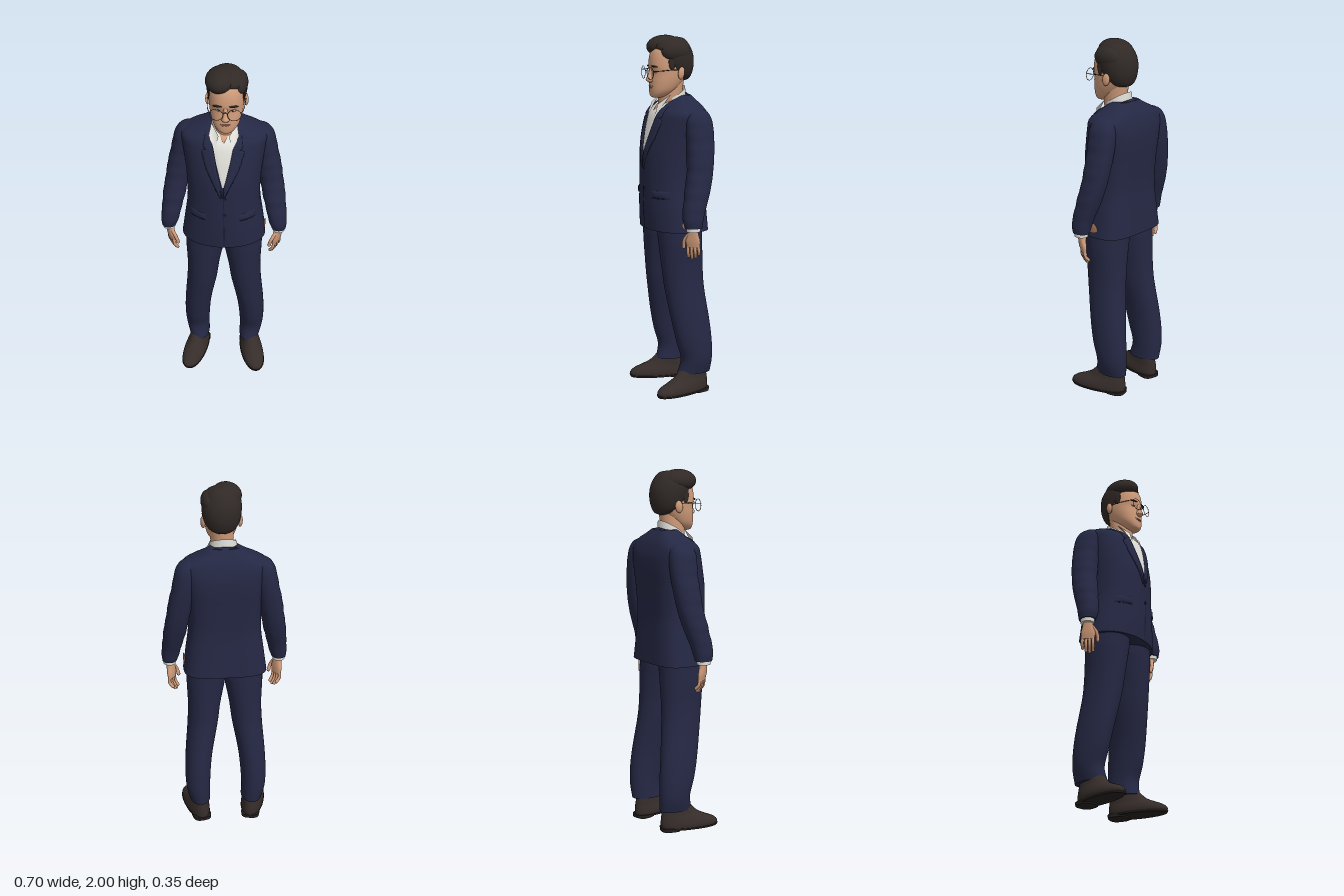
import * as THREE from 'three';

const mat = (name, color, side = THREE.FrontSide) => {
  const m = new THREE.MeshStandardMaterial({ color, side });
  m.name = name;
  return m;
};
const navy = mat('navy cloth', 0x252844, THREE.DoubleSide);
const darkNavy = mat('dark navy trim', 0x1a1d33, THREE.DoubleSide);
const white = mat('white shirt', 0xe2e0da, THREE.DoubleSide);
const skin = mat('skin', 0xd29d7b, THREE.DoubleSide);
const deepSkin = mat('deep skin', 0xb47c62);
const hairTone = mat('dark hair', 0x302926);
const leather = mat('brown leather', 0x362d2a);
const soleTone = mat('dark sole', 0x272120);
const frameTone = mat('bronze frame', 0x6a4630);
const eyeWhite = mat('eye white', 0xd0c2b8);

const add = (parent, name, geo, material, pos = [0, 0, 0], scale = [1, 1, 1], rot = [0, 0, 0]) => {
  const m = new THREE.Mesh(geo, material);
  m.name = name;
  m.position.set(...pos);
  m.scale.set(...scale);
  m.rotation.set(...rot);
  parent.add(m);
  return m;
};
const ball = new THREE.SphereGeometry(1, 32, 20);

// Rings are [y, centreX, radiusX, frontZ, backZ, tilt], bottom to top; this fills in between them
function smooth(rings, sub = 6, fold = 0) {
  const out = [];
  const R = rings.map(r => [...r, 0].slice(0, 6));
  for (let i = 0; i < R.length - 1; i++) {
    const [a, b, c, d] = [R[Math.max(i - 1, 0)], R[i], R[i + 1], R[Math.min(i + 2, R.length - 1)]];
    for (let k = 0; k < sub + (i === R.length - 2 ? 1 : 0); k++) {
      const t = k / sub;
      const r = b.map((v, n) => v + 0.5 * t * (c[n] - a[n] + t * (2 * a[n] - 5 * v + 4 * c[n] - d[n] + t * (3 * (v - c[n]) + d[n] - a[n]))));
      const w = fold * Math.sin(r[0] * 60) * Math.sin(r[0] * 23);
      r[2] += w; r[3] += w;
      out.push(r);
    }
  }
  return out;
}

// Skin over superellipse rings, with flat end caps unless open
function loft(rings, p = 2, open = false, N = 48, pBack = p) {
  const pos = [], idx = [];
  const pw = (v, q) => Math.sign(v) * Math.abs(v) ** (2 / q);
  const ring = ([y, cx, rx, zf, zb, tilt]) => {
    for (let j = 0; j < N; j++) {
      const a = j / N * Math.PI * 2, q = j > N / 2 ? pBack : p, dz = (zf - zb) / 2 * pw(Math.sin(a), q);
      pos.push(cx + rx * pw(Math.cos(a), q), y + tilt * dz, (zf + zb) / 2 + dz);
    }
  };
  rings.forEach(ring);
  for (let i = 0; i < rings.length - 1; i++) for (let j = 0; j < N; j++) {
    const a = i * N + j, b = i * N + (j + 1) % N;
    idx.push(a, a + N, b, b, a + N, b + N);
  }
  if (!open) [rings[0], rings[rings.length - 1]].forEach((r, e) => {
    const s = pos.length / 3;
    ring(r);
    pos.push(r[1], r[0], (r[3] + r[4]) / 2);
    for (let j = 0; j < N; j++) {
      const a = s + j, b = s + (j + 1) % N;
      idx.push(s + N, e ? b : a, e ? a : b);
    }
  });
  return meshFrom(pos, idx);
}
function meshFrom(pos, idx) {
  const g = new THREE.BufferGeometry();
  g.setAttribute('position', new THREE.Float32BufferAttribute(pos, 3));
  g.setIndex(idx);
  g.computeVertexNormals();
  return g;
}

// Jacket body, also used as the surface that the front details lie on
const P = 2.05;
const body = smooth([
  [0.94, 0, 0.232, 0.162, -0.163], [1.05, 0, 0.217, 0.169, -0.157], [1.2, 0, 0.199, 0.171, -0.151],
  [1.35, 0, 0.203, 0.168, -0.16], [1.45, 0, 0.214, 0.15, -0.167], [1.53, 0, 0.226, 0.128, -0.165],
  [1.585, 0, 0.228, 0.106, -0.152], [1.62, 0, 0.182, 0.074, -0.137], [1.645, 0, 0.13, 0.045, -0.12],
  [1.675, 0, 0.08, 0.015, -0.097]]);
function frontZ(x, y) {
  let i = body.findIndex(r => r[0] > y);
  i = i < 1 ? (i === 0 ? 1 : body.length - 1) : i;
  const [a, b] = [body[i - 1], body[i]], t = (y - a[0]) / (b[0] - a[0]);
  const [, , rx, zf, zb] = a.map((v, n) => v + (b[n] - v) * t);
  const q = Math.max(0, 1 - Math.abs(x / rx) ** P) ** (1 / P);
  return (zf + zb) / 2 + (zf - zb) / 2 * q;
}
// Cloth patch on the jacket front: rows are [y, inner x, outer x], top to bottom
function drape(rows, lift, s = 1, edge = 0.001) {
  const pos = [], idx = [], n = 8, sub = 5, all = [];
  rows.forEach((r, i) => {
    if (i) for (let k = 1; k <= sub; k++) all.push(r.map((v, m) => rows[i - 1][m] + (v - rows[i - 1][m]) * k / sub));
    else all.push(r);
  });
  all.forEach(([y, a, b], i) => {
    const [l, r] = s > 0 ? [a, b] : [-b, -a];
    for (let j = 0; j <= n; j++) {
      const x = l + (r - l) * j / n, rim = j === 0 || j === n || i === 0 || i === all.length - 1;
      pos.push(x, y, frontZ(x, y) + (rim ? edge : lift));
      if (i && j) {
        const d = i * (n + 1) + j, u = d - n - 1;
        idx.push(u - 1, d - 1, u, u, d - 1, d);
      }
    }
  });
  return meshFrom(pos, idx);
}

function buildJacket(g) {
  add(g, 'jacketBody', loft(body, P, false, 72, 3.6), navy);
  add(g, 'jacketCollar', loft(smooth([[1.6, 0, 0.105, 0.03, -0.125, -0.5], [1.635, 0, 0.094, 0.025, -0.1, -0.55],
    [1.652, 0, 0.084, 0.025, -0.086, -0.6]]), 2, true), navy);
  add(g, 'shirtFront', drape([[1.67, -0.064, 0.068], [1.62, -0.06, 0.064], [1.5, -0.036, 0.042], [1.355, 0, 0.01]], 0.006, 1, 0.004), white);
  add(g, 'openNeck', drape([[1.66, -0.034, 0.042], [1.64, -0.026, 0.034], [1.595, 0.002, 0.006]], 0.012, 1, 0.009), skin);
  add(g, 'shirtCollarBand', loft(smooth([[1.6, 0.004, 0.08, 0.055, -0.08, -0.55], [1.683, 0.006, 0.073, 0.06, -0.073, -0.6]]), 2, true), white);
  for (const s of [1, -1]) {
    add(g, 'lapel', drape([[1.635, 0.07, 0.094], [1.57, 0.054, 0.106], [1.557, 0.05, 0.094], [1.545, 0.047, 0.115],
      [1.45, 0.03, 0.088], [1.36, 0.008, 0.045], [1.28, 0.002, 0.01]], 0.009, s), navy);
    add(g, 'lapelEdge', drape([[1.543, 0.114, 0.117], [1.45, 0.087, 0.09], [1.36, 0.044, 0.047], [1.28, 0.009, 0.011]], 0.002, s), darkNavy);
    add(g, 'pocketFlap', drape([[1.165, 0.09, 0.178], [1.125, 0.09, 0.181]], 0.008, s), navy);
    add(g, 'pocketSeam', drape([[1.125, 0.089, 0.181], [1.121, 0.089, 0.181]], 0.003, s, 0.002), darkNavy);
    // Folded shirt collar point
    const c = [[0.068, 1.68, 0.036], [0.028, 1.63, 0.094], [0.046, 1.56, 0.124], [0.08, 1.628, 0.086]];
    add(g, 'shirtCollarPoint', meshFrom(c.flatMap(([x, y, z]) => [x * s + 0.004, y, z]),
      s > 0 ? [0, 1, 2, 0, 2, 3] : [0, 2, 1, 0, 3, 2]), white);
  }
  add(g, 'frontOpening', drape([[1.3, 0.005, 0.008], [1.1, 0.008, 0.011], [1.07, 0.004, 0.018], [0.943, 0.008, 0.011]], 0.003, 1, 0.003), darkNavy);
  for (const y of [1.28, 1.17])
    add(g, 'jacketButton', ball, darkNavy, [0.012, y, frontZ(0.012, y) + 0.002], [0.008, 0.008, 0.004]);
  add(g, 'hipPatch', ball, deepSkin, [0.225, 0.985, 0], [0.006, 0.04, 0.035], [0, 0, -0.13]);
}

// Arm, hand, trouser leg and shoe for one side
function buildSide(s) {
  const g = new THREE.Group();
  g.name = s > 0 ? 'leftLimbs' : 'rightLimbs';
  g.scale.x = s;
  add(g, 'sleeve', loft(smooth([
    [0.985, 0.307, 0.041, 0.056, -0.04], [1.06, 0.296, 0.053, 0.062, -0.058], [1.15, 0.281, 0.06, 0.045, -0.09],
    [1.25, 0.264, 0.064, 0.025, -0.118], [1.36, 0.245, 0.065, 0.012, -0.136], [1.46, 0.226, 0.064, 0.01, -0.145],
    [1.54, 0.212, 0.06, 0.01, -0.142], [1.585, 0.2, 0.053, 0.002, -0.128], [1.607, 0.182, 0.04, -0.015, -0.108],
    [1.618, 0.165, 0.015, -0.035, -0.08]], 8, 0.002), 2.2), navy);
  add(g, 'shirtCuff', loft(smooth([[0.965, 0.307, 0.034, 0.046, -0.03], [0.99, 0.307, 0.035, 0.048, -0.032]]), 2), white);

  const hand = new THREE.Group();
  hand.name = 'hand';
  hand.position.set(0.305, 0.97, 0.008);
  hand.rotation.set(0, -0.55, -0.12);
  add(hand, 'palm', loft(smooth([[-0.095, 0, 0.012, 0.036, -0.036], [-0.06, 0, 0.017, 0.042, -0.037],
    [-0.02, 0, 0.019, 0.031, -0.028], [0.02, 0, 0.02, 0.026, -0.024]]), 2.2, false, 24), skin);
  const digit = (name, pts, r) => {
    add(hand, name, new THREE.TubeGeometry(new THREE.CatmullRomCurve3(pts.map(p => new THREE.Vector3(...p))), 10, r, 10), skin);
    add(hand, name + 'Tip', ball, skin, pts[pts.length - 1], [r, r, r]);
  };
  [0.068, 0.076, 0.07, 0.055].forEach((len, i) => {
    const z = 0.027 - i * 0.018;
    digit('finger', [[0, -0.08, z], [0.001, -0.09 - len * 0.5, z * 1.1], [-0.014, -0.085 - len, z * 1.05]], 0.0088);
  });
  digit('thumb', [[0, -0.02, 0.024], [-0.006, -0.06, 0.05], [-0.012, -0.098, 0.054]], 0.01);
  g.add(hand);

  add(g, 'trouserLeg', loft(smooth([
    [0.118, 0.15, 0.059, 0.026, -0.168], [0.2, 0.16, 0.068, 0.008, -0.174], [0.3, 0.16, 0.073, 0.035, -0.172],
    [0.42, 0.151, 0.077, 0.06, -0.16], [0.6, 0.127, 0.086, 0.09, -0.137], [0.72, 0.117, 0.092, 0.104, -0.131],
    [0.85, 0.107, 0.107, 0.115, -0.13], [0.9, 0.102, 0.112, 0.118, -0.13], [0.98, 0.1, 0.112, 0.122, -0.13]], 8), 2.1), navy);

  const shoe = new THREE.Group();
  shoe.name = 'shoe';
  shoe.position.set(0.168, 0, 0);
  shoe.rotation.y = 0.22;
  add(shoe, 'shoeUpper', loft(smooth([[0.014, 0, 0.062, 0.172, -0.158], [0.035, 0, 0.065, 0.174, -0.16], [0.055, 0, 0.062, 0.152, -0.16],
    [0.075, 0, 0.056, 0.105, -0.158], [0.1, -0.002, 0.05, 0.055, -0.155], [0.15, -0.004, 0.044, 0.005, -0.15]]), 2.2), leather);
  add(shoe, 'sole', loft(smooth([[0.008, 0, 0.062, 0.172, -0.158], [0.02, 0, 0.067, 0.178, -0.163]], 2), 2.2), soleTone);
  add(shoe, 'heel', loft(smooth([[0, 0, 0.052, -0.05, -0.16], [0.02, 0, 0.054, -0.045, -0.162]], 2), 3), soleTone);
  g.add(shoe);
  return g;
}

function buildHead() {
  const g = new THREE.Group();
  g.name = 'head';
  g.position.x = 0.015;
  add(g, 'neck', loft(smooth([[1.56, -0.008, 0.054, 0.07, -0.05], [1.65, -0.005, 0.06, 0.078, -0.052], [1.76, 0, 0.066, 0.08, -0.064]]), 2), skin);
  add(g, 'face', loft(smooth([
    [1.664, 0, 0.022, 0.115, 0.07], [1.674, 0, 0.043, 0.128, 0.035], [1.705, 0, 0.068, 0.132, -0.01], [1.75, 0, 0.083, 0.131, -0.05],
    [1.8, 0, 0.091, 0.127, -0.08], [1.835, 0, 0.092, 0.134, -0.09], [1.89, 0, 0.09, 0.128, -0.095], [1.93, 0, 0.08, 0.11, -0.085],
    [1.96, 0, 0.05, 0.07, -0.05]]), 2.25), skin);
  add(g, 'nose', loft(smooth([[1.746, 0, 0.009, 0.138, 0.11], [1.755, 0, 0.021, 0.152, 0.11], [1.766, 0, 0.018, 0.157, 0.11],
    [1.79, 0, 0.012, 0.145, 0.11], [1.825, 0, 0.013, 0.134, 0.11]]), 2, false, 20), skin);
  add(g, 'upperLip', ball, deepSkin, [0, 1.727, 0.124], [0.031, 0.0035, 0.011]);
  add(g, 'lowerLip', ball, deepSkin, [0, 1.72, 0.125], [0.024, 0.0045, 0.011]);
  add(g, 'glassesBridge', new THREE.TorusGeometry(0.012, 0.0018, 6, 12, Math.PI), frameTone, [0, 1.803, 0.156]);
  for (const s of [1, -1]) {
    add(g, 'ear', ball, skin, [s * 0.1, 1.8, -0.008], [0.012, 0.034, 0.021], [-0.15, s * 0.3, 0]);
    add(g, 'eye', ball, eyeWhite, [s * 0.037, 1.806, 0.116], [0.015, 0.0055, 0.009]);
    add(g, 'iris', ball, hairTone, [s * 0.037, 1.806, 0.121], [0.006, 0.0055, 0.005]);
    add(g, 'eyebrow', ball, hairTone, [s * 0.042, 1.835, 0.126], [0.026, 0.0048, 0.007], [0, s * 0.3, s * -0.08]);
    add(g, 'lensRim', new THREE.TorusGeometry(0.035, 0.0016, 8, 32), frameTone, [s * 0.047, 1.8, 0.152], [1, 0.95, 1], [0, s * 0.12, 0]);
    const arm = new THREE.CatmullRomCurve3([[0.082, 1.812, 0.148], [0.092, 1.813, 0.12], [0.1, 1.816, 0.01], [0.097, 1.8, -0.02]]
      .map(([x, y, z]) => new THREE.Vector3(x * s, y, z)));
    add(g, 'glassesTemple', new THREE.TubeGeometry(arm, 16, 0.002, 6), frameTone);
    add(g, 'sideburn', ball, hairTone, [s * 0.089, 1.86, 0.04], [0.008, 0.045, 0.022]);
  }
  // Tapered back and sides, swept top, and the smaller lock beyond the parting
  add(g, 'hairCap', loft(smooth([
    [1.8, 0, 0.082, 0.08, -0.06, 0.7], [1.82, 0, 0.095, 0.095, -0.088, 0.65], [1.845, 0, 0.103, 0.103, -0.106, 0.52],
    [1.88, 0, 0.107, 0.108, -0.116, 0.38], [1.918, 0, 0.104, 0.11, -0.113, 0.22], [1.955, 0, 0.086, 0.095, -0.092, 0.1],
    [1.98, 0, 0.058, 0.065, -0.062], [1.99, 0, 0.02, 0.03, -0.025]]), 2.1), hairTone);
  add(g, 'sweptHair', ball, hairTone, [-0.031, 1.938, 0.033], [0.08, 0.061, 0.103], [0, 0, 0.12]);
  add(g, 'sideLock', ball, hairTone, [0.066, 1.912, 0.008], [0.045, 0.057, 0.085]);
  return g;
}

export function createModel() {
  const g = new THREE.Group();
  g.name = 'manInSuit';
  buildJacket(g);
  g.add(buildSide(1), buildSide(-1), buildHead());
  return g;
}
